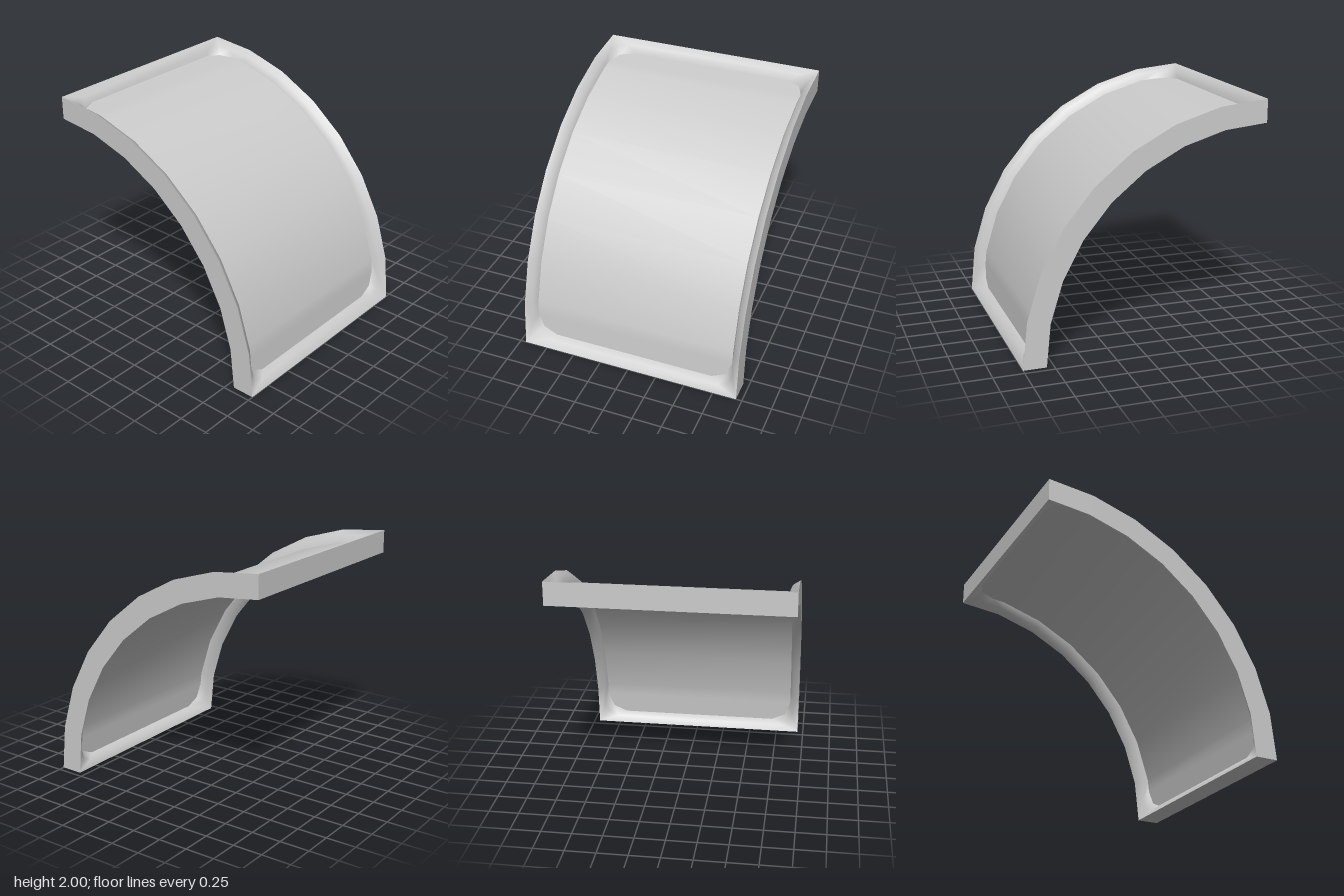
import * as THREE from 'three';
import { mergeVertices } from 'three/addons/utils/BufferGeometryUtils.js';

const STEP = 11.25;              // degrees per facet of the quarter arc
const OUT = 2, IN = 1.81, MID = 1.905;
const HALF = 0.95;               // half width of the frame

// Point on the faceted arc of radius r, angle in degrees
function arcPoint(x, deg, r) {
  const i = Math.min(7, Math.floor(deg / STEP));
  const at = (k) => {
    const a = THREE.MathUtils.degToRad(k * STEP);
    return new THREE.Vector3(x, r * Math.sin(a), r * Math.cos(a) - 1);
  };
  return at(i).lerp(at(i + 1), deg / STEP - i);
}

// Rows of the opening: [angle, half width], with cut corners at both ends
const corner = [[2.4, 0.7], [4.1, 0.82], [7.9, 0.87]];
const rows = [...corner];
for (let k = 1; k < 8; k++) rows.push([k * STEP, 0.87]);
for (const [a, w] of [...corner].reverse()) rows.push([90 - a, w]);

// Closed ring: t = 0 on the outer edge, t = 1 on the opening
function ring(t, r) {
  const side = (s) => rows.map(([a, w]) => {
    const edge = a < STEP ? 0 : a > 90 - STEP ? 90 : a;
    return arcPoint(s * THREE.MathUtils.lerp(HALF, w, t), THREE.MathUtils.lerp(edge, a, t), r);
  });
  return [...side(1), ...side(-1).reverse()];
}

// Surface joining a list of equally long point loops
function loft(loops, { closed = true, flip = false, flat = false } = {}) {
  const n = loops[0].length, index = [];
  for (let j = 0; j + 1 < loops.length; j++) {
    for (let i = 0; i < (closed ? n : n - 1); i++) {
      const a = j * n + i, b = j * n + (i + 1) % n, c = b + n, d = a + n;
      index.push(...(flip ? [a, c, b, a, d, c] : [a, b, c, a, c, d]));
    }
  }
  let geo = new THREE.BufferGeometry().setFromPoints(loops.flat());
  geo.setIndex(index);
  geo = flat ? geo.toNonIndexed() : mergeVertices(geo, 1e-4);
  geo.computeVertexNormals();
  return geo;
}

export function createModel() {
  const model = new THREE.Group();
  model.name = 'curvedPanel';
  const grey = new THREE.MeshStandardMaterial({ color: 0xcccccc });
  const thin = new THREE.MeshStandardMaterial({ color: 0xcccccc, side: THREE.DoubleSide });
  const add = (name, geo, mat = grey) => {
    const mesh = new THREE.Mesh(geo, mat);
    mesh.name = name;
    model.add(mesh);
  };

  // Frame: rounded lips falling to the panel on both faces
  add('frameFront', loft([ring(0, OUT), ring(0.7, 1.963), ring(1, MID)]));
  add('frameBack', loft([ring(0, IN), ring(0.7, 1.847), ring(1, MID)], { flip: true }));

  // Frame: flat outer edge
  add('frameEdge', loft([ring(0, OUT), ring(0, IN)], { flip: true, flat: true }));

  // Curved sheet filling the opening
  const sheet = [1, -1].map((s) => rows.map(([a, w]) => arcPoint(s * w, a, MID)));
  add('panel', loft(sheet, { closed: false }), thin);

  return model;
}
